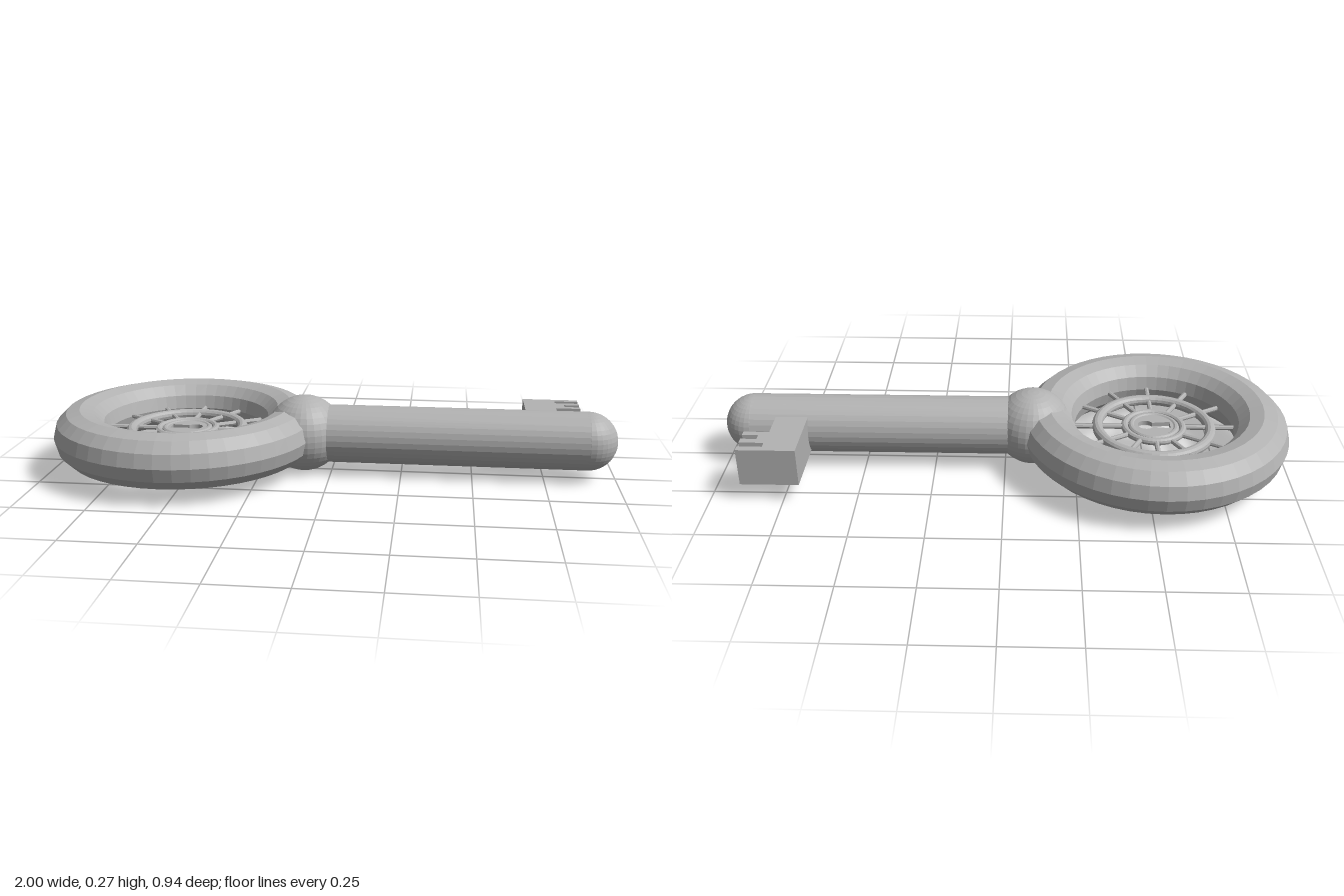
import * as THREE from 'three';

export function createModel() {
  const model = new THREE.Group();
  const metal = new THREE.MeshStandardMaterial({ color: 0xb3b3b3, flatShading: true });
  metal.name = 'grey metal';
  const Y = 0.14;

  const add = (name, geometry, parent, x = 0, y = 0, z = 0) => {
    const mesh = new THREE.Mesh(geometry, metal);
    mesh.name = name;
    mesh.position.set(x, y, z);
    parent.add(mesh);
    return mesh;
  };
  const ring = (name, radius, tube, sides, parent) =>
    add(name, new THREE.TorusGeometry(radius, tube, sides, 48).rotateX(Math.PI / 2), parent);

  // Round handle with a spoked wheel inside
  const bow = new THREE.Group();
  bow.name = 'bow';
  bow.position.set(-0.528, Y, 0);
  model.add(bow);
  ring('bowRing', 0.376, 0.095, 12, bow);
  ring('wheelRim', 0.2, 0.019, 12, bow);
  ring('hubOuterRing', 0.103, 0.013, 10, bow);
  ring('hubInnerRing', 0.079, 0.012, 10, bow);

  for (let i = 0; i < 12; i++) {
    const spoke = new THREE.CylinderGeometry(0.009, 0.009, 0.2, 8);
    spoke.rotateZ(Math.PI / 2).translate(0.205, 0, 0).rotateY((i * Math.PI) / 6);
    add('spoke', spoke, bow);
  }

  // Hub plate pierced by a keyhole: round eye with a flared slot
  const plate = new THREE.Shape().absarc(0, 0, 0.078, 0, Math.PI * 2, false);
  const hole = new THREE.Path();
  hole.absarc(0.028, 0, 0.028, Math.PI * 0.83, -Math.PI * 0.83, true);
  hole.lineTo(-0.058, -0.022);
  hole.lineTo(-0.058, 0.022);
  hole.closePath();
  plate.holes.push(hole);
  const plateGeometry = new THREE.ExtrudeGeometry(plate, { depth: 0.016, bevelEnabled: false, curveSegments: 24 });
  plateGeometry.translate(0, 0, -0.008).rotateX(-Math.PI / 2);
  add('keyholePlate', plateGeometry, bow);

  // Collar ball, shaft and rounded tip
  add('collarBall', new THREE.SphereGeometry(0.136, 32, 20), model, -0.098, Y, 0);
  add('shaft', new THREE.CylinderGeometry(0.103, 0.103, 1, 32).rotateZ(Math.PI / 2), model, 0.397, Y, 0);
  add('shaftTip', new THREE.SphereGeometry(0.103, 32, 20), model, 0.897, Y, 0);

  // Toothed bit, outlined in plan (x, distance towards the back)
  const outline = [
    [0.69, 0], [0.802, 0], [0.802, 0.182], [0.89, 0.182], [0.89, 0.204], [0.835, 0.204], [0.835, 0.229],
    [0.89, 0.229], [0.89, 0.254], [0.805, 0.254], [0.805, 0.279], [0.89, 0.279], [0.89, 0.303], [0.69, 0.303],
  ];
  const bit = new THREE.Shape(outline.map(([x, z]) => new THREE.Vector2(x, z)));
  const bitGeometry = new THREE.ExtrudeGeometry(bit, { depth: 0.135, bevelEnabled: false });
  add('keyBit', bitGeometry.rotateX(-Math.PI / 2), model, 0, 0.071, 0);

  return model;
}
